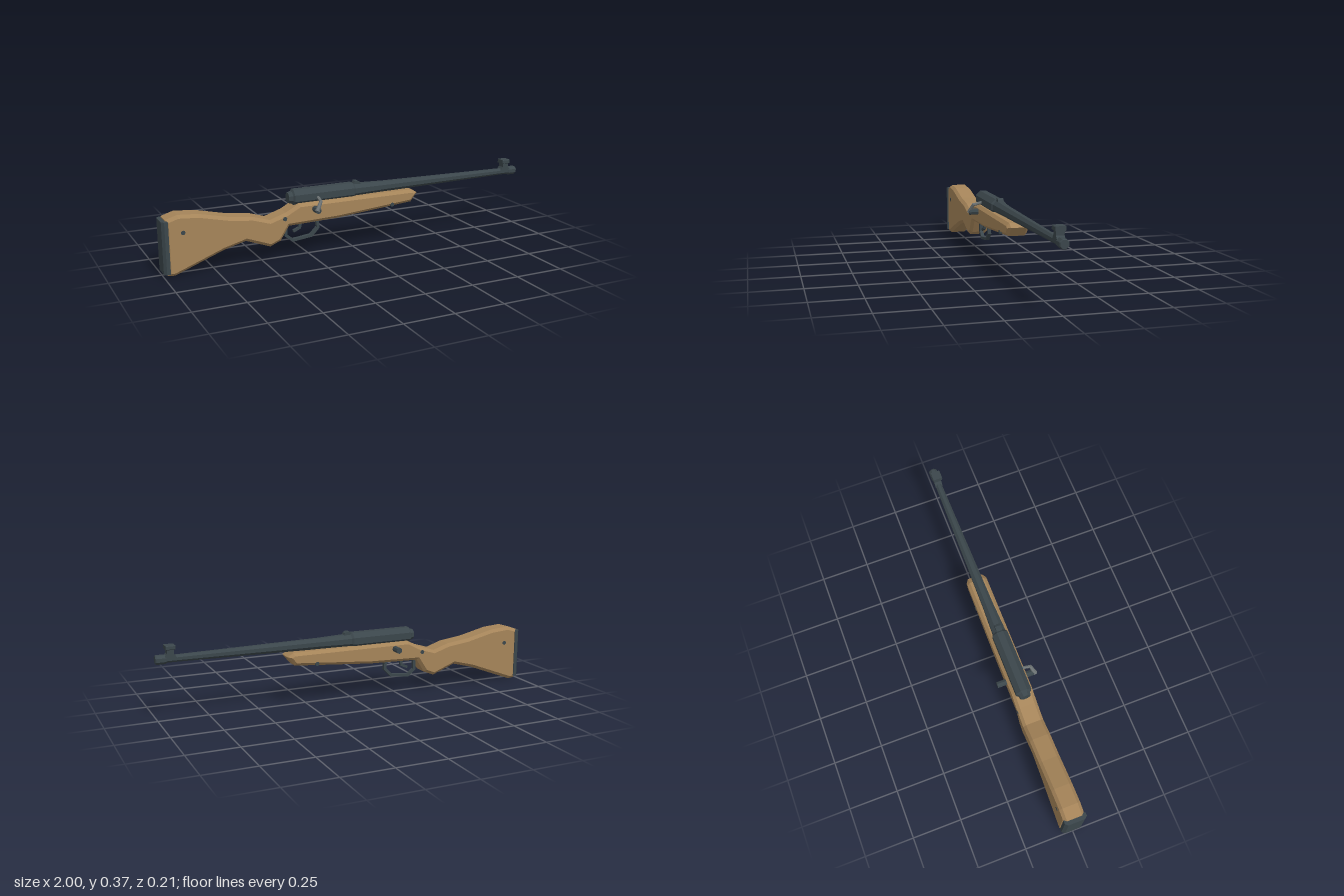
import * as THREE from 'three';

const wood = new THREE.MeshStandardMaterial({ color: 0xa58459 });
wood.name = 'wood';
const metal = new THREE.MeshStandardMaterial({ color: 0x3b464b });
metal.name = 'dark metal';
const steel = new THREE.MeshStandardMaterial({ color: 0x6c7273 });
steel.name = 'bolt steel';

const ZC = -0.0035; // middle of the stock and barrel
const BORE = 0.303; // height of the barrel axis

function flat(geometry) {
  const g = geometry.index ? geometry.toNonIndexed() : geometry;
  g.computeVertexNormals();
  return g;
}

function add(parent, name, geometry, material) {
  const mesh = new THREE.Mesh(flat(geometry), material);
  mesh.name = name;
  parent.add(mesh);
  return mesh;
}

// Side outline in x, y, given a width in z and an optional chamfer
function plate(points, width, chamfer = 0) {
  const shape = new THREE.Shape(points.map(([x, y]) => new THREE.Vector2(x, y)));
  const depth = width - 2 * chamfer;
  return new THREE.ExtrudeGeometry(shape, {
    depth, bevelEnabled: chamfer > 0, bevelSegments: 1,
    bevelSize: chamfer, bevelThickness: chamfer, bevelOffset: -chamfer,
  }).translate(0, 0, ZC - depth / 2);
}

// Eight-sided turned part along x, from [x, radius] pairs
function turned(profile) {
  const points = profile.map(([x, r]) => new THREE.Vector2(r, x));
  return new THREE.LatheGeometry(points, 8, Math.PI / 8)
    .rotateZ(-Math.PI / 2).translate(0, BORE, ZC);
}

// Straight rod between two points
function rod(a, b, r0, r1, sides) {
  const from = new THREE.Vector3(...a), to = new THREE.Vector3(...b);
  const dir = to.clone().sub(from);
  const g = new THREE.CylinderGeometry(r1, r0, dir.length(), sides);
  g.applyQuaternion(new THREE.Quaternion().setFromUnitVectors(
    new THREE.Vector3(0, 1, 0), dir.clone().normalize()));
  return g.translate(...from.add(to).multiplyScalar(0.5).toArray());
}

export function createModel() {
  const group = new THREE.Group();
  group.name = 'rifle';

  // Chamfered wooden stock
  add(group, 'stock', plate([
    [-0.98, 0.005], [-0.945, 0.002], [-0.7, 0.095], [-0.59, 0.124], [-0.465, 0.077],
    [-0.41, 0.1], [-0.365, 0.17], [-0.1, 0.178], [0.32, 0.212], [0.357, 0.258],
    [0.325, 0.277], [-0.31, 0.277], [-0.38, 0.24], [-0.465, 0.213], [-0.55, 0.24],
    [-0.67, 0.255], [-0.82, 0.29], [-0.92, 0.298], [-0.98, 0.28],
  ], 0.107, 0.015), wood);

  // Butt plate with chamfered rear corners
  const pad = new THREE.Shape([
    [-0.97, -0.056], [-0.97, 0.056], [-0.988, 0.056], [-1, 0.042], [-1, -0.042], [-0.988, -0.056],
  ].map(([x, z]) => new THREE.Vector2(x, -z)));
  add(group, 'buttPlate', new THREE.ExtrudeGeometry(pad, { depth: 0.257, bevelEnabled: false })
    .rotateX(-Math.PI / 2).translate(0, 0.017, 0), metal);

  // Receiver, barrel and muzzle
  add(group, 'receiver', turned([
    [-0.355, 0], [-0.355, 0.027], [-0.335, 0.033], [-0.328, 0.043], [-0.005, 0.043], [0.005, 0.036], [0.005, 0],
  ]), metal);
  add(group, 'barrel', turned([
    [0, 0], [0, 0.036], [0.17, 0.029], [0.9, 0.018], [0.955, 0.018], [0.955, 0],
  ]), metal);
  add(group, 'muzzle', turned([
    [0.945, 0], [0.945, 0.019], [0.953, 0.0235], [0.994, 0.0235], [1, 0.02], [1, 0],
  ]), metal);

  // Sights
  add(group, 'rearSight', plate([
    [-0.005, 0.325], [0.045, 0.325], [0.036, 0.345], [0.025, 0.351], [0.01, 0.351],
  ], 0.03), metal);
  add(group, 'frontSightPost', plate([
    [0.895, 0.305], [0.965, 0.305], [0.945, 0.33], [0.945, 0.352], [0.912, 0.352], [0.912, 0.33],
  ], 0.038), metal);
  add(group, 'frontSightCap', plate([
    [0.905, 0.349], [0.952, 0.349], [0.952, 0.37], [0.905, 0.37],
  ], 0.05, 0.003), metal);

  // Cross pin, bolt handle and its knob
  add(group, 'crossPin', rod([-0.23, 0.245, 0.096], [-0.23, 0.245, -0.105], 0.016, 0.016, 8), metal);
  const bolt = new THREE.Group();
  bolt.name = 'boltHandle';
  group.add(bolt);
  add(bolt, 'handleArm', rod([-0.205, 0.3, 0.025], [-0.21, 0.285, 0.082], 0.007, 0.008, 6), steel);
  add(bolt, 'handleGrip', rod([-0.208, 0.29, 0.078], [-0.238, 0.243, 0.096], 0.008, 0.012, 6), steel);

  // Trigger guard loop
  add(group, 'triggerGuard', plate([
    [-0.375, 0.175], [-0.375, 0.108], [-0.333, 0.074], [-0.228, 0.086], [-0.187, 0.128], [-0.192, 0.185],
    [-0.208, 0.185], [-0.202, 0.134], [-0.236, 0.1], [-0.329, 0.088], [-0.361, 0.114], [-0.361, 0.175],
  ], 0.019), metal);
  add(group, 'trigger', plate([
    [-0.294, 0.18], [-0.299, 0.146], [-0.33, 0.132], [-0.326, 0.12], [-0.288, 0.137], [-0.278, 0.18],
  ], 0.014), metal);

  // Screws through the stock
  for (const x of [-0.9, -0.39, 0.205]) {
    add(group, 'screw', rod([x, 0.212, ZC - 0.0555], [x, 0.212, ZC + 0.0555], 0.011, 0.011, 8), metal);
  }
  return group;
}
